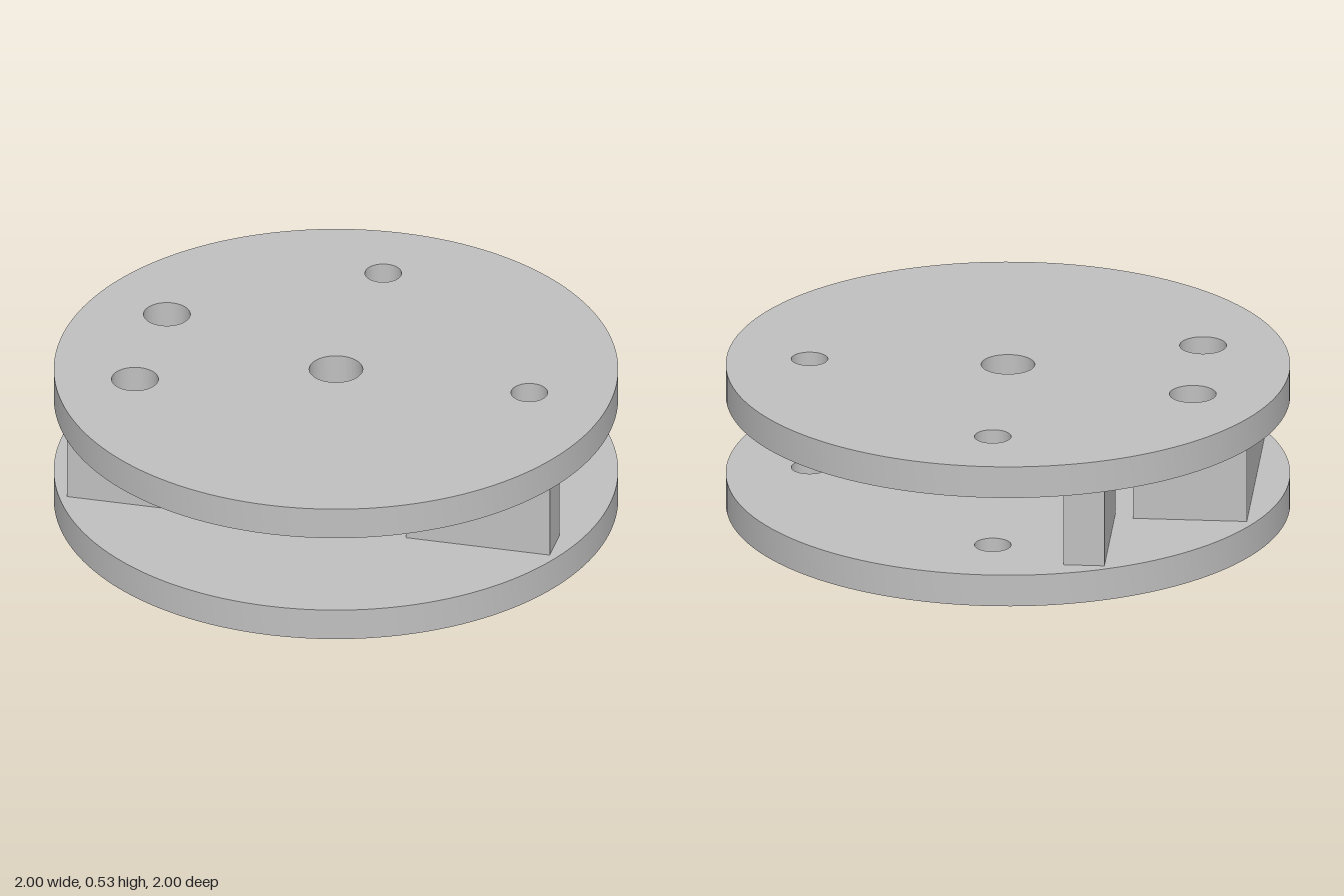
import * as THREE from 'three';
import { toCreasedNormals } from 'three/addons/utils/BufferGeometryUtils.js';

// Bores through both discs: x, z, radius
const BORES = [
  [0, 0, 0.095],
  [0.705, 0, 0.065],
  [0, -0.705, 0.065],
  [-0.675, -0.238, 0.083],
  [-0.675, 0.238, 0.083],
];

const DISC = 0.118;   // disc thickness
const HEIGHT = 0.53;  // overall height

// Spacer blocks between the discs: name, x range, z range
const SPACERS = [
  ['leftSpacer', 0.355, 0.88, 0.265, 0.41],
  ['backSpacer', -0.41, -0.265, -0.88, -0.355],
  ['rightSpacer', -0.88, -0.475, -0.41, 0.41],
];

function discGeometry() {
  const shape = new THREE.Shape().absarc(0, 0, 1, 0, Math.PI * 2, false);
  for (const [x, z, r] of BORES) {
    shape.holes.push(new THREE.Path().absarc(x, -z, r, 0, Math.PI * 2, true));
  }
  const geometry = new THREE.ExtrudeGeometry(shape, { depth: DISC, bevelEnabled: false, curveSegments: 72 });
  geometry.rotateX(-Math.PI / 2);
  return toCreasedNormals(geometry, Math.PI / 6);
}

export function createModel() {
  const group = new THREE.Group();
  group.name = 'spacedDiscs';
  const grey = new THREE.MeshStandardMaterial({ color: 0xc0c0c0 });
  grey.name = 'grey';

  // Two identical drilled discs
  const disc = discGeometry();
  for (const [name, y] of [['bottomDisc', 0], ['topDisc', HEIGHT - DISC]]) {
    const mesh = new THREE.Mesh(disc, grey);
    mesh.name = name;
    mesh.position.y = y;
    group.add(mesh);
  }

  // Blocks holding the discs apart
  for (const [name, x0, x1, z0, z1] of SPACERS) {
    const mesh = new THREE.Mesh(new THREE.BoxGeometry(x1 - x0, HEIGHT - 2 * DISC, z1 - z0), grey);
    mesh.name = name;
    mesh.position.set((x0 + x1) / 2, HEIGHT / 2, (z0 + z1) / 2);
    group.add(mesh);
  }
  return group;
}
